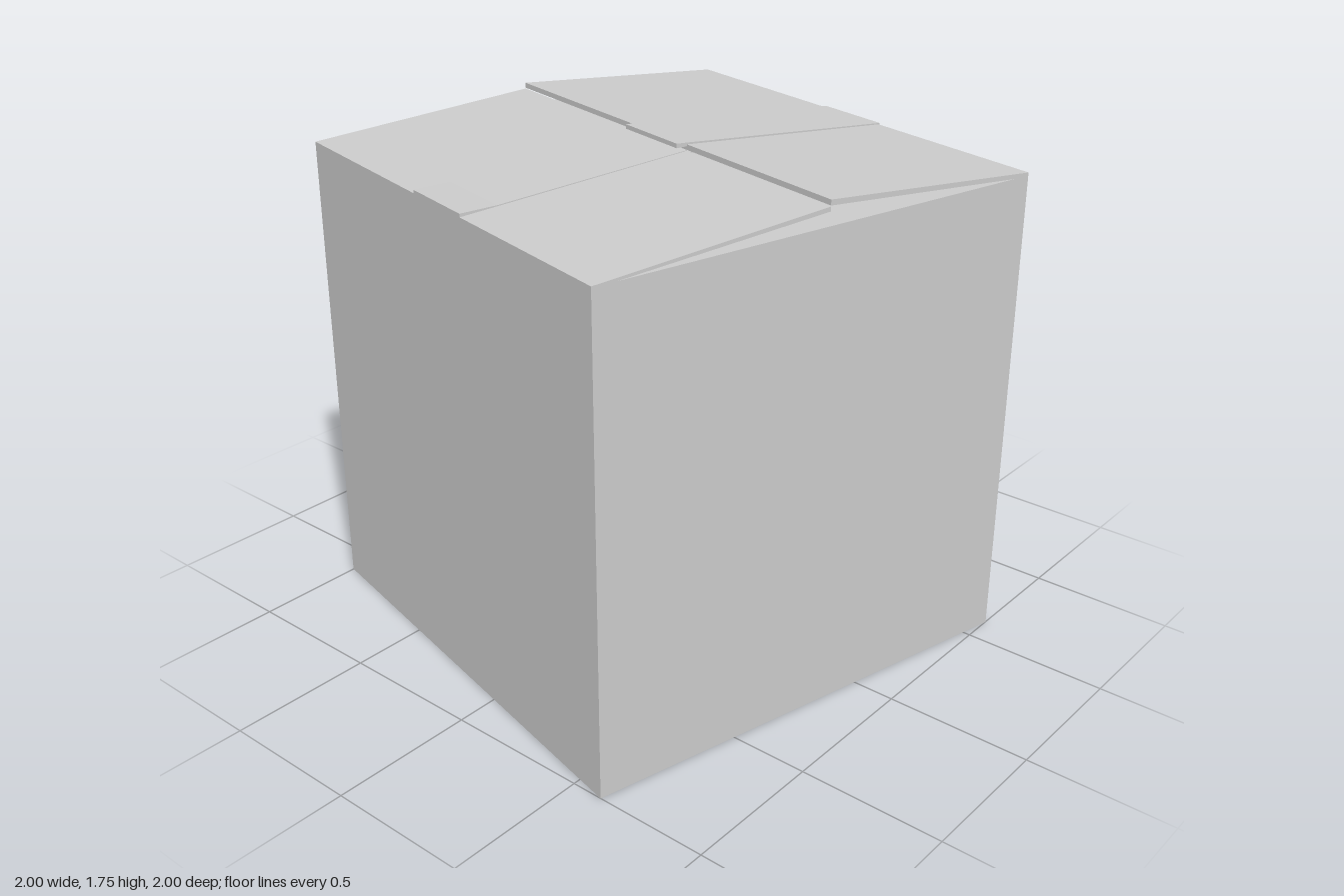
import * as THREE from 'three';

const W = 1.657, H = 1.655, T = 0.012, R = W / 2;
const TAPE = 0.28;

export function createModel() {
  const model = new THREE.Group();
  model.name = 'cardboardBox';
  const material = new THREE.MeshStandardMaterial({
    color: 0xcccccc, flatShading: true, side: THREE.DoubleSide,
  });

  const add = (name, geometry, x = 0, y = 0, z = 0) => {
    const mesh = new THREE.Mesh(geometry, material);
    mesh.name = name;
    mesh.position.set(x, y, z);
    model.add(mesh);
    return mesh;
  };

  // Sweeps a [z, y] profile across the given width, centred on x
  const sweep = (name, width, profile) => {
    const shape = new THREE.Shape(profile.map(([z, y]) => new THREE.Vector2(z, y)));
    const geometry = new THREE.ExtrudeGeometry(shape, { depth: width, bevelEnabled: false });
    geometry.translate(0, 0, -width / 2);
    geometry.rotateY(-Math.PI / 2);
    return add(name, geometry);
  };

  // Hollow body: floor and four walls
  add('floor', new THREE.BoxGeometry(W, T, W), 0, T / 2, 0);
  for (const s of [-1, 1]) {
    const side = s > 0 ? 'left' : 'right';
    add(s > 0 ? 'frontWall' : 'backWall', new THREE.BoxGeometry(W, H, T), 0, H / 2, s * (R - T / 2));
    add(side + 'Wall', new THREE.BoxGeometry(T, H, W - 2 * T), s * (R - T / 2), H / 2, 0);
    // Inner flaps folded flat beneath the lid
    add(side + 'InnerFlap', new THREE.BoxGeometry(R - 0.005, T, W - 2 * T), s * (R / 2 + 0.0025), H - T / 2, 0);
  }

  // Outer flaps, raised where they meet in the middle
  sweep('frontFlap', W, [[R, H - 0.005], [R, H + 0.004], [0, 1.715], [0, 1.700]]);
  sweep('backFlap', W, [[-R, H - 0.005], [-R, 1.665], [0, 1.736], [0, 1.718]]);

  // Tape along the front flap, lifting off at the front edge
  sweep('frontTape', TAPE, [[R, H + 0.004], [R, 1.670], [0.70, 1.671], [0, 1.717], [0, 1.714]]);

  // Tape over the back flap, with a free end past the seam and a fold down the back
  sweep('backTape', TAPE, [
    [-R, 1.570], [-R - 0.005, 1.570], [-R - 0.005, 1.669], [0, 1.742],
    [0.04, 1.745], [0.04, 1.730], [0, 1.730], [-R, 1.662],
  ]);

  // The box stands turned about its vertical axis
  model.rotation.y = -0.238;
  const root = new THREE.Group();
  root.name = 'box';
  root.add(model);
  return root;
}
